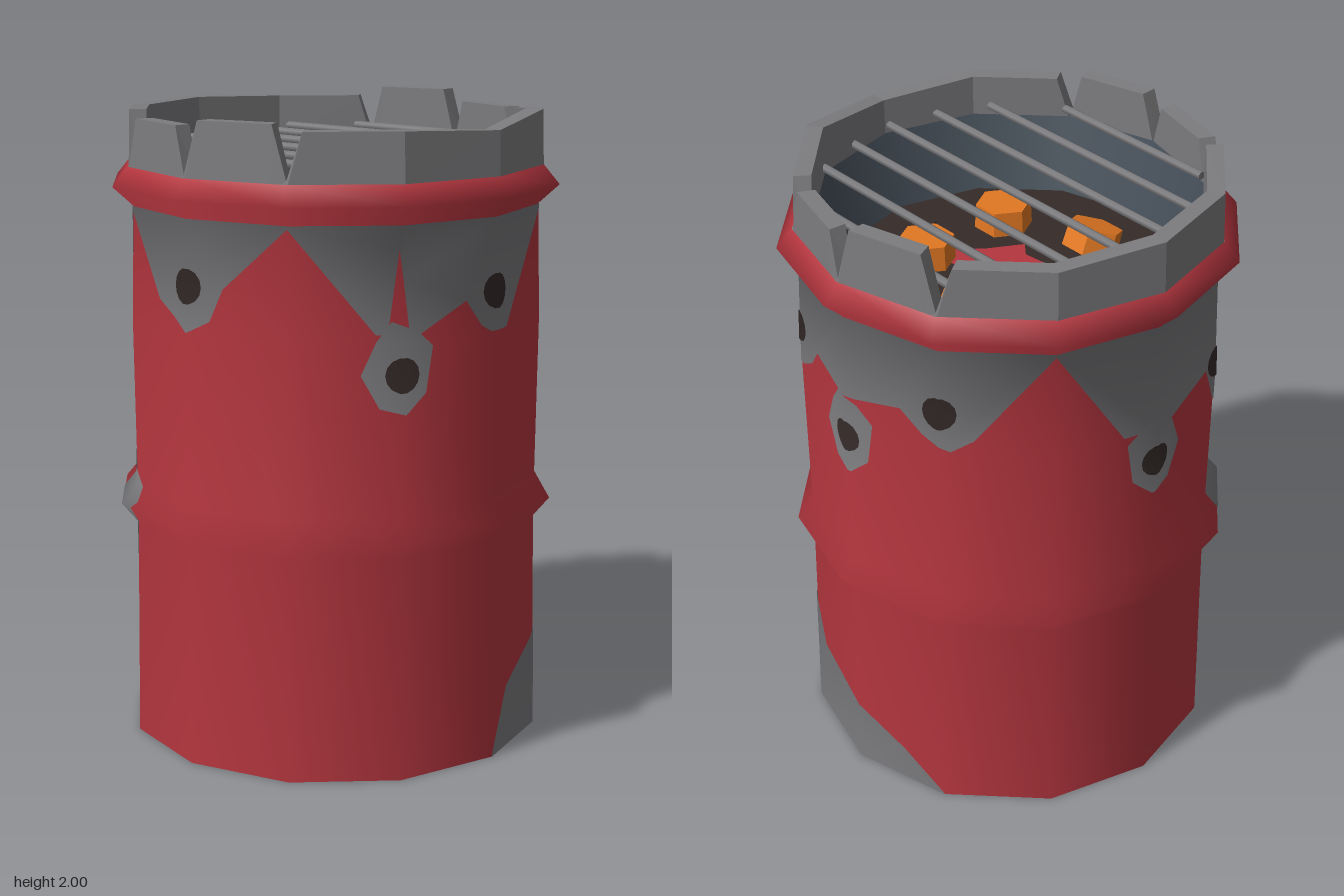
import * as THREE from 'three';

const DEG = Math.PI / 180;
const SIDES = 12;
const STEP = 360 / SIDES;
// Wall outline as [radius, height]
const PROFILE = [[0.66, 0], [0.65, 0.7], [0.7, 0.76], [0.65, 0.82], [0.655, 1.35], [0.645, 1.7], [0.71, 1.76], [0.66, 1.82]];

const mat = (name, color, side = THREE.FrontSide) => {
  const m = new THREE.MeshStandardMaterial({ color, side });
  m.name = name;
  return m;
};

// Radius at an angle on a straight-sided ring
const facetRadius = (r, deg) => {
  const d = deg - (Math.floor(deg / STEP) + 0.5) * STEP;
  return r * Math.cos(STEP / 2 * DEG) / Math.cos(d * DEG);
};

// Keep the part of a polygon where axis value * sign >= limit * sign
function clip(poly, axis, limit, sign) {
  const out = [];
  poly.forEach((a, i) => {
    const b = poly[(i + 1) % poly.length];
    const da = (a[axis] - limit) * sign, db = (b[axis] - limit) * sign;
    if (da >= 0) out.push(a);
    if (da * db < 0) {
      const t = da / (da - db);
      out.push([a[0] + (b[0] - a[0]) * t, a[1] + (b[1] - a[1]) * t]);
    }
  });
  return out;
}

// Vertical tilt of the smooth wall normal at each outline point
const TILT = PROFILE.map((p, i) => {
  const slope = j => (j < 0 || j >= PROFILE.length - 1) ? null
    : Math.atan2(PROFILE[j][0] - PROFILE[j + 1][0], PROFILE[j + 1][1] - PROFILE[j][1]);
  const a = slope(i - 1) ?? slope(i), b = slope(i) ?? slope(i - 1);
  return (a + b) / 2;
});

// Thin paint layer wrapped on the wall; outline is [degrees, height]
function wallPatch(outline, lift) {
  const pos = [], nor = [];
  const angles = outline.map(p => p[0]);
  const first = Math.floor(Math.min(...angles) / STEP), last = Math.ceil(Math.max(...angles) / STEP);
  for (let k = first; k < last; k++) {
    const strip = clip(clip(outline, 0, k * STEP, 1), 0, (k + 1) * STEP, -1);
    for (let j = 0; j < PROFILE.length - 1; j++) {
      const [r0, y0] = PROFILE[j], [r1, y1] = PROFILE[j + 1];
      const cell = clip(clip(strip, 1, y0, 1), 1, y1, -1).map(p => new THREE.Vector2(...p));
      if (cell.length < 3) continue;
      if (THREE.ShapeUtils.isClockWise(cell)) cell.reverse();
      for (const i of THREE.ShapeUtils.triangulateShape(cell, []).flat()) {
        const { x: deg, y } = cell[i], t = (y - y0) / (y1 - y0), a = deg * DEG;
        const r = (r0 + (r1 - r0) * t + lift) * Math.cos(STEP / 2 * DEG) / Math.cos((deg - (k + 0.5) * STEP) * DEG);
        const tilt = TILT[j] + (TILT[j + 1] - TILT[j]) * t;
        pos.push(r * Math.sin(a), y, r * Math.cos(a));
        nor.push(Math.sin(a) * Math.cos(tilt), Math.sin(tilt), Math.cos(a) * Math.cos(tilt));
      }
    }
  }
  const g = new THREE.BufferGeometry();
  g.setAttribute('position', new THREE.Float32BufferAttribute(pos, 3));
  g.setAttribute('normal', new THREE.Float32BufferAttribute(nor, 3));
  return g;
}

// Uneven metal lip with V-shaped cuts on both sides
function rimGeometry() {
  const stations = [];
  const heights = [1.955, 1.99, 1.97, 1.965, 2.0, 1.97, 1.98, 1.98, 1.99, 1.97, 1.99, 1.97];
  heights.forEach((h, i) => {
    const a = i * STEP;
    if ([60, 90, 120, 240, 270, 300].includes(a)) {
      stations.push([a - 4, h], [a, 1.83], [a + 4, heights[(i + 1) % 12]]);
    } else stations.push([a, h]);
  });
  const section = ([deg, top]) => [[0.66, 1.8], [0.655, top], [0.6, top], [0.6, 1.8]].map(([r, y]) => {
    const q = facetRadius(r, deg);
    return [q * Math.sin(deg * DEG), y, q * Math.cos(deg * DEG)];
  });
  const pos = [];
  stations.forEach((s, i) => {
    const a = section(s), b = section(stations[(i + 1) % stations.length]);
    for (let j = 0; j < 3; j++) {
      pos.push(...a[j], ...b[j], ...b[j + 1], ...a[j], ...b[j + 1], ...a[j + 1]);
    }
  });
  const g = new THREE.BufferGeometry();
  g.setAttribute('position', new THREE.Float32BufferAttribute(pos, 3));
  g.computeVertexNormals();
  return g;
}

export function createModel() {
  const model = new THREE.Group();
  model.name = 'fireBarrel';
  const red = mat('red paint', 0xb5363f);
  const steel = mat('bare steel', 0x7c7c7f, THREE.DoubleSide);
  const slate = mat('inner slate', 0x46505a);
  const soot = mat('soot', 0x352b29);
  const ember = mat('ember orange', 0xe27822);
  const add = (name, geometry, material, parent = model) => {
    const m = new THREE.Mesh(geometry, material);
    m.name = name;
    parent.add(m);
    return m;
  };
  const lathe = pts => new THREE.LatheGeometry(pts.map(p => new THREE.Vector2(...p)), SIDES);

  // Drum shell
  add('wall', lathe(PROFILE), red);
  add('base', new THREE.CircleGeometry(0.66, SIDES).rotateX(Math.PI / 2), red);
  add('rim', rimGeometry(), steel);

  // Worn paint under the upper hoop
  const border = [[-60, 1.69], [-37, 1.38], [-34, 1.38], [-31, 1.63], [-28, 1.36], [-10, 1.46], [-5, 1.38], [-2, 1.36],
    [6, 1.36], [11, 1.43], [30, 1.69], [50, 1.4], [54, 1.37], [62, 1.36], [68, 1.4], [72, 1.46], [87, 1.43], [93, 1.43],
    [108, 1.46], [115, 1.4], [123, 1.36], [129, 1.4], [150, 1.69], [170, 1.35], [187, 1.35], [205, 1.4], [209, 1.28],
    [215, 1.23], [221, 1.28], [240, 1.69], [256, 1.44], [264, 1.4], [270, 1.36], [277, 1.4], [281, 1.5], [300, 1.69]];
  add('wornPaintTop', wallPatch([...border, [300, 1.7], [-60, 1.7]], 0.003), steel);

  // Worn paint low on the front corner and across the middle hoop
  add('wornPaintBottom', wallPatch([[0, 0], [120, 0], [106, 0.12], [90, 0.22], [66, 0.27], [60, 0.44],
    [50, 0.45], [37.5, 0.46], [28, 0.3], [10, 0.2]], 0.003), steel);
  add('wornPaintMiddle', wallPatch([[221, 0.92], [237, 0.92], [246, 0.78], [238, 0.66], [231, 0.47],
    [226, 0.6], [221, 0.7]], 0.003), steel);

  // Worn paint around the low vent holes
  const chip = [[-11, 0.0], [-7, 0.1], [-3, 0.16], [4, 0.13], [9, 0.08], [7, -0.06], [1, -0.12], [-6, -0.1]];
  for (const [deg, y, flip] of [[-30, 1.26, 1], [90, 1.28, 1], [180, 1.24, -1]]) {
    add('ventChip', wallPatch(chip.map(([a, h]) => [deg + a * flip, y + h]), 0.004), steel);
  }

  // Vent holes
  for (const [deg, y] of [[0, 1.48], [60, 1.49], [120, 1.49], [210, 1.41], [270, 1.5], [-30, 1.26], [90, 1.29], [180, 1.24]]) {
    const ring = Array.from({ length: 14 }, (_, i) => {
      const a = i / 14 * Math.PI * 2;
      return [deg + 4.7 * Math.cos(a), y + 0.054 * Math.sin(a)];
    });
    add('ventHole', wallPatch(ring, 0.007), soot);
  }

  // Fire bowl
  add('innerWall', lathe([[0.6, 1.84], [0.53, 1.6]]), slate);
  add('ashBed', new THREE.CircleGeometry(0.54, SIDES).rotateX(-Math.PI / 2).translate(0, 1.605, 0), soot);
  const scrap = [[-0.1, -0.06], [-0.05, -0.09], [0, -0.07], [0.05, -0.1], [0.06, -0.04], [0.11, 0], [0.09, 0.06],
    [0.13, 0.18], [0.19, 0.34], [0.08, 0.22], [-0.02, 0.14], [-0.13, 0.08], [-0.09, 0.03]];
  const scrapShape = new THREE.Shape(scrap.map(([x, z]) => new THREE.Vector2(x, -z)));
  add('paintScrap', new THREE.ShapeGeometry(scrapShape).rotateX(-Math.PI / 2).translate(0, 1.61, 0), red);
  const cinder = add('cinder', new THREE.BoxGeometry(0.06, 0.03, 0.05), soot);
  cinder.position.set(0.04, 1.615, 0.36);
  cinder.rotation.y = 0.4;

  // Glowing coals
  const coalShape = new THREE.CylinderGeometry(0.088, 0.092, 0.08, 6).toNonIndexed();
  coalShape.computeVertexNormals();
  for (const [x, z, tilt] of [[-0.02, -0.28, 0], [-0.27, -0.08, 0.35], [0.24, -0.1, -0.35], [-0.165, 0.22, 0], [0.16, 0.21, 0]]) {
    const coal = add('coal', coalShape, ember);
    coal.position.set(x, 1.65, z);
    coal.rotation.z = tilt;
  }

  // Grill bars
  for (let i = -3; i <= 3; i++) {
    const x = i * 0.165 - 0.01;
    const length = 2 * Math.sqrt(0.59 ** 2 - x * x);
    const bar = add('grillBar', new THREE.CylinderGeometry(0.014, 0.014, length, 6).rotateX(Math.PI / 2), steel);
    bar.position.set(x, 1.87, 0);
  }
  return model;
}
